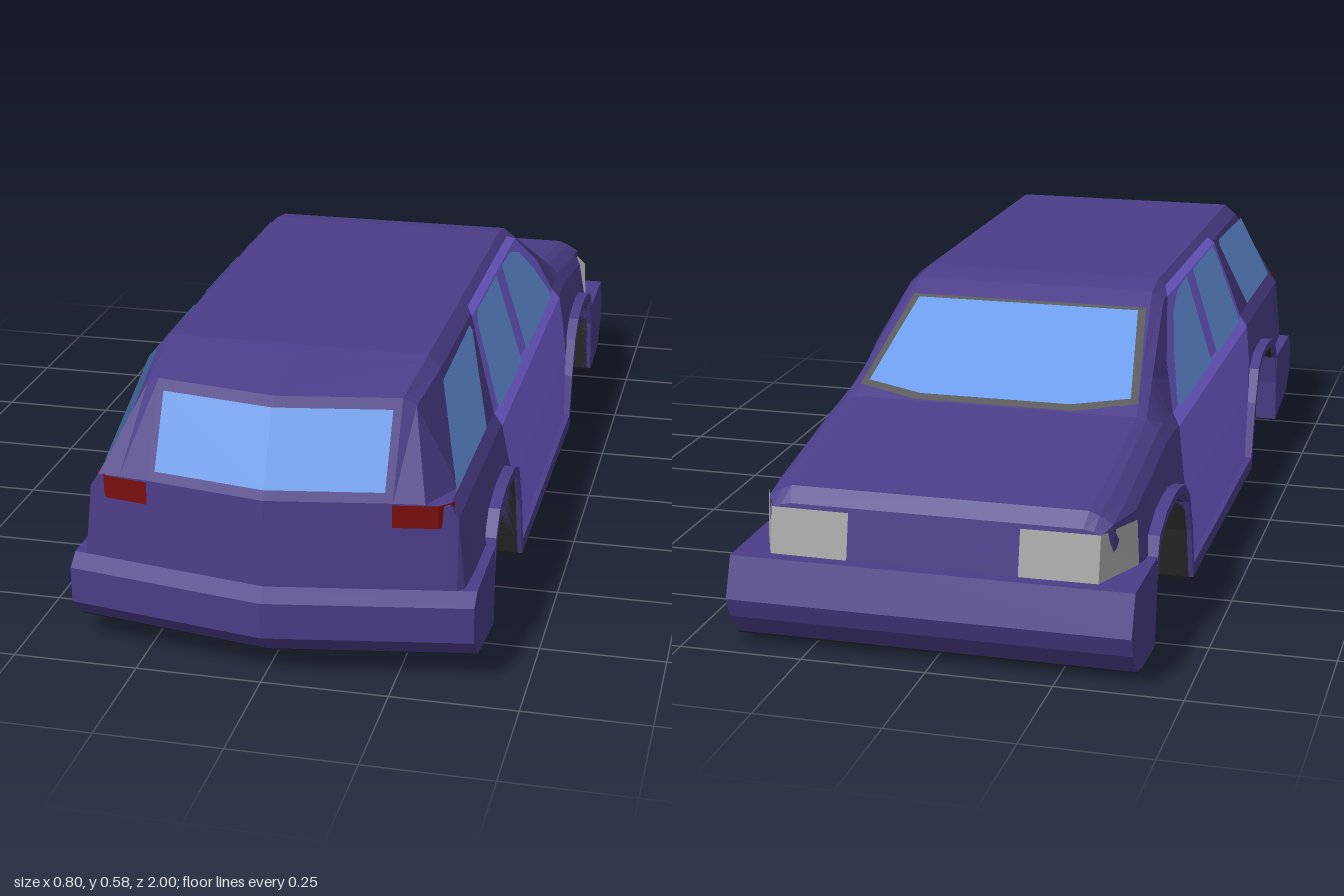
import * as THREE from 'three';

const BODY = 0x4b3d88, DOOR = 0x7862dc, GLASS = 0x6a9cec, RED = 0x7c0f0f;
const LAMP = 0xa8a8a8, TRIM = 0x585858, FLOOR = 0x141414, WELL = 0x2a2a2a;

// Wheel arch outlines as [z, y], rear to front
const rearArch = [[0.71, 0.02], [0.70, 0.12], [0.68, 0.19], [0.64, 0.232], [0.58, 0.246], [0.53, 0.248],
  [0.47, 0.244], [0.42, 0.22], [0.385, 0.15], [0.34, 0.005]];
const frontArch = [[-0.40, 0.005], [-0.43, 0.12], [-0.465, 0.195], [-0.51, 0.23], [-0.57, 0.243], [-0.62, 0.243],
  [-0.68, 0.236], [-0.74, 0.21], [-0.77, 0.14], [-0.79, 0.01]];
const bottomLine = [[0.97, 0.06], [0.72, 0.02], ...rearArch, ...frontArch, [-0.945, 0.03]];

// Body keys: z, top, edge x, edge y, crown x, waist y, shoulder y, widest x
const keys = [
  [0.97, 0.19, 0.28, 0.19, 0.24, 0.19, 0.19, 0.375],
  [0.96, 0.363, 0.30, 0.362, 0.24, 0.36, 0.335, 0.375],
  [0.87, 0.54, 0.265, 0.525, 0.24, 0.36, 0.335, 0.38],
  [0.69, 0.578, 0.285, 0.553, 0.26, 0.36, 0.335, 0.38],
  [-0.12, 0.578, 0.285, 0.553, 0.26, 0.36, 0.335, 0.38],
  [-0.19, 0.566, 0.285, 0.546, 0.26, 0.36, 0.335, 0.38],
  [-0.52, 0.386, 0.32, 0.378, 0.30, 0.36, 0.335, 0.38],
  [-0.80, 0.337, 0.32, 0.33, 0.30, 0.312, 0.29, 0.38],
  [-0.90, 0.318, 0.315, 0.31, 0.295, 0.295, 0.275, 0.342],
  [-0.925, 0.29, 0.31, 0.286, 0.29, 0.28, 0.26, 0.325],
  [-0.945, 0.19, 0.31, 0.19, 0.29, 0.19, 0.19, 0.318],
];

// Linear lookup in a table ordered by falling z
function at(table, z) {
  let i = 0;
  while (i < table.length - 2 && z < table[i + 1][0]) i++;
  const a = table[i], b = table[i + 1];
  const t = Math.min(1, Math.max(0, (a[0] - z) / (a[0] - b[0])));
  return a.map((v, k) => v + (b[k] - v) * t);
}

// The tail is swept back to a shallow V in plan
function sweep(x, y, z) {
  const k = Math.min(1, Math.max(0, (z - 0.69) / 0.18));
  return [x, y, z - 0.17 * Math.abs(x) * k];
}

function addMesh(parent, name, geometry, color) {
  const material = new THREE.MeshStandardMaterial({ color, flatShading: true, side: THREE.DoubleSide });
  const mesh = new THREE.Mesh(geometry, material);
  mesh.name = name;
  parent.add(mesh);
  return mesh;
}

// Surface through rows of [x, y, z] points
function loft(rows) {
  const n = rows[0].length, index = [];
  for (let i = 0; i < rows.length - 1; i++) {
    for (let j = 0; j < n - 1; j++) {
      const a = i * n + j, b = a + n;
      index.push(a, b, a + 1, a + 1, b, b + 1);
    }
  }
  const g = new THREE.BufferGeometry();
  g.setAttribute('position', new THREE.Float32BufferAttribute(rows.flat(2), 3));
  g.setIndex(index);
  g.computeVertexNormals();
  return g;
}

// Moves every vertex by a rule (x, y, z) -> [x, y, z]
function remap(g, rule) {
  const p = g.attributes.position;
  for (let i = 0; i < p.count; i++) p.setXYZ(i, ...rule(p.getX(i), p.getY(i), p.getZ(i)));
  g.computeVertexNormals();
  return g;
}

const outline = pts => new THREE.Shape(pts.map(p => new THREE.Vector2(p[0], p[1])));
const panel = (pts, rule) => remap(new THREE.ShapeGeometry(outline(pts)), rule);
const across = (pts, x0, depth, steps = 1) => remap(
  new THREE.ExtrudeGeometry(outline(pts), { depth, steps, bevelEnabled: false }),
  (z, y, d) => sweep(x0 + d, y, z));

function bodySection(z) {
  const [, top, edgeX, edgeY, crownX, waistY, shoulderY, wide] = at(keys, z);
  const low = at(bottomLine, z)[1];
  const half = [
    [0.385, low], [0.38, Math.min(Math.max(low, 0.19), shoulderY)], [0.362, shoulderY],
    [0.345, waistY], [edgeX, edgeY], [crownX, top],
  ].map(([x, y]) => [Math.min(x, wide), y]);
  return [...half, [0, top], ...half.slice().reverse().map(([x, y]) => [-x, y])].map(([x, y]) => sweep(x, y, z));
}

// Side windows as [z, y]
const sideWindows = {
  frontDoorWindow: [[0.03, 0.355], [-0.325, 0.355], [-0.34, 0.37], [-0.25, 0.455], [-0.16, 0.52], [-0.08, 0.545], [0.03, 0.55]],
  rearDoorWindow: [[0.10, 0.355], [0.38, 0.355], [0.395, 0.37], [0.36, 0.53], [0.335, 0.55], [0.10, 0.55]],
  quarterWindow: [[0.525, 0.368], [0.85, 0.368], [0.72, 0.54], [0.425, 0.548], [0.415, 0.535]],
};
const glassX = y => 0.345 - (y - 0.36) * 0.311;

// Door edges per level: y, rear z, front z, x
const doorLevels = [
  [0.035, 0.305, -0.38, 0.386], [0.19, 0.365, -0.41, 0.381], [0.26, 0.41, -0.41, 0.373], [0.335, 0.43, -0.40, 0.363],
  [0.36, 0.43, -0.385, 0.346], [0.45, 0.41, -0.32, 0.318], [0.55, 0.38, -0.17, 0.287], [0.566, 0.36, -0.13, 0.274],
];

function makeSide(s) {
  const side = new THREE.Group();
  side.name = s > 0 ? 'leftSide' : 'rightSide';
  const add = (name, g, color) => addMesh(side, name, g, color);

  add('doors', loft(doorLevels.map(([y, z0, z1, x]) => [[s * (x + 0.002), y, z0], [s * (x + 0.002), y, z1]])), DOOR);
  for (const [name, pts] of Object.entries(sideWindows)) {
    add(name, panel(pts, (z, y) => [s * (glassX(y) + 0.006), y, z]), GLASS);
  }
  const sill = add('sill', new THREE.BoxGeometry(0.03, 0.03, 0.73), BODY);
  sill.position.set(s * 0.385, 0.02, -0.03);

  // Wheel wells and flares
  for (const [name, arch, centre] of [['rear', rearArch, 0.53], ['front', frontArch, -0.595]]) {
    const well = [0.39, 0.25].map(x => arch.map(([z, y]) => [s * x, y, z]));
    add(name + 'WheelWell', loft(well), WELL);
    add(name + 'WellWall', panel(arch, (z, y) => [s * 0.25, y, z]), WELL);
    const outer = arch.map(([z, y]) => [centre + (z - centre) * 1.09, y * 1.07]);
    add(name + 'ArchFlare', across([...outer, ...arch.slice().reverse()], s > 0 ? 0.35 : -0.4, 0.05), BODY);
  }

  // Headlight wrapping round the corner
  add('headlight', loft([
    [[s * 0.17, 0.193, -0.951], [s * 0.325, 0.193, -0.949], [s * 0.376, 0.193, -0.83]],
    [[s * 0.17, 0.283, -0.933], [s * 0.325, 0.283, -0.931], [s * 0.372, 0.283, -0.83]],
  ]), LAMP);

  // Tail light
  add('tailLight', loft([0.317, 0.363].map(y =>
    [[0.24, 0.968], [0.325, 0.968], [0.352, 0.945]].map(([x, z]) => sweep(s * x, y, z)))), RED);
  return side;
}

export function createModel() {
  const car = new THREE.Group();
  car.name = 'estateCar';

  // Shell: sections from tail to nose, lifted over the wheel arches
  const stations = [...new Set([...keys, ...bottomLine].map(k => k[0]))].sort((a, b) => b - a);
  addMesh(car, 'bodyShell', loft(stations.map(bodySection)), BODY);

  // Bumpers
  addMesh(car, 'rearBumper', across([[0.71, 0.19], [0.97, 0.19], [1.0, 0.168], [1.0, 0.095], [0.95, 0.048],
    [0.72, 0.022]], -0.4, 0.8, 2), BODY);
  addMesh(car, 'frontBumper', across([[-0.775, 0.19], [-0.97, 0.19], [-1.0, 0.11], [-0.985, 0.07], [-0.95, 0.025],
    [-0.90, 0.014], [-0.79, 0.01]], -0.4, 0.8, 2), BODY);

  // Underside, notched at the wheels: z, y, half width
  const floor = [[0.95, 0.046, 0.4], [0.71, 0.018, 0.4], [0.71, 0.018, 0.25], [0.34, 0.002, 0.25], [0.34, 0.002, 0.4],
    [-0.40, 0.001, 0.4], [-0.40, 0.001, 0.25], [-0.79, 0.005, 0.25], [-0.79, 0.005, 0.4], [-0.90, 0.011, 0.4],
    [-0.95, 0.022, 0.4]];
  addMesh(car, 'underside', loft(floor.map(([z, y, w]) => [-w, 0, w].map(x => sweep(x, y, z)))), FLOOR);

  // Windscreen with its surround
  const screen = lift => (x, z) => [x, at(keys, z)[1] + lift, z];
  addMesh(car, 'windscreenTrim', panel([[-0.258, -0.24], [0.258, -0.24], [0.297, -0.49], [0.17, -0.519],
    [-0.17, -0.519], [-0.297, -0.49]], screen(0.003)), TRIM);
  addMesh(car, 'windscreen', panel([[-0.243, -0.253], [0.243, -0.253], [0.28, -0.483], [0.16, -0.508],
    [-0.16, -0.508], [-0.28, -0.483]], screen(0.007)), GLASS);

  // Tailgate window
  addMesh(car, 'tailgateWindow', loft([0.383, 0.522].map(y =>
    [-0.225, 0, 0.225].map(x => sweep(x, y, 0.966 - (y - 0.363) * 0.508)))), GLASS);

  car.add(makeSide(1), makeSide(-1));
  return car;
}
